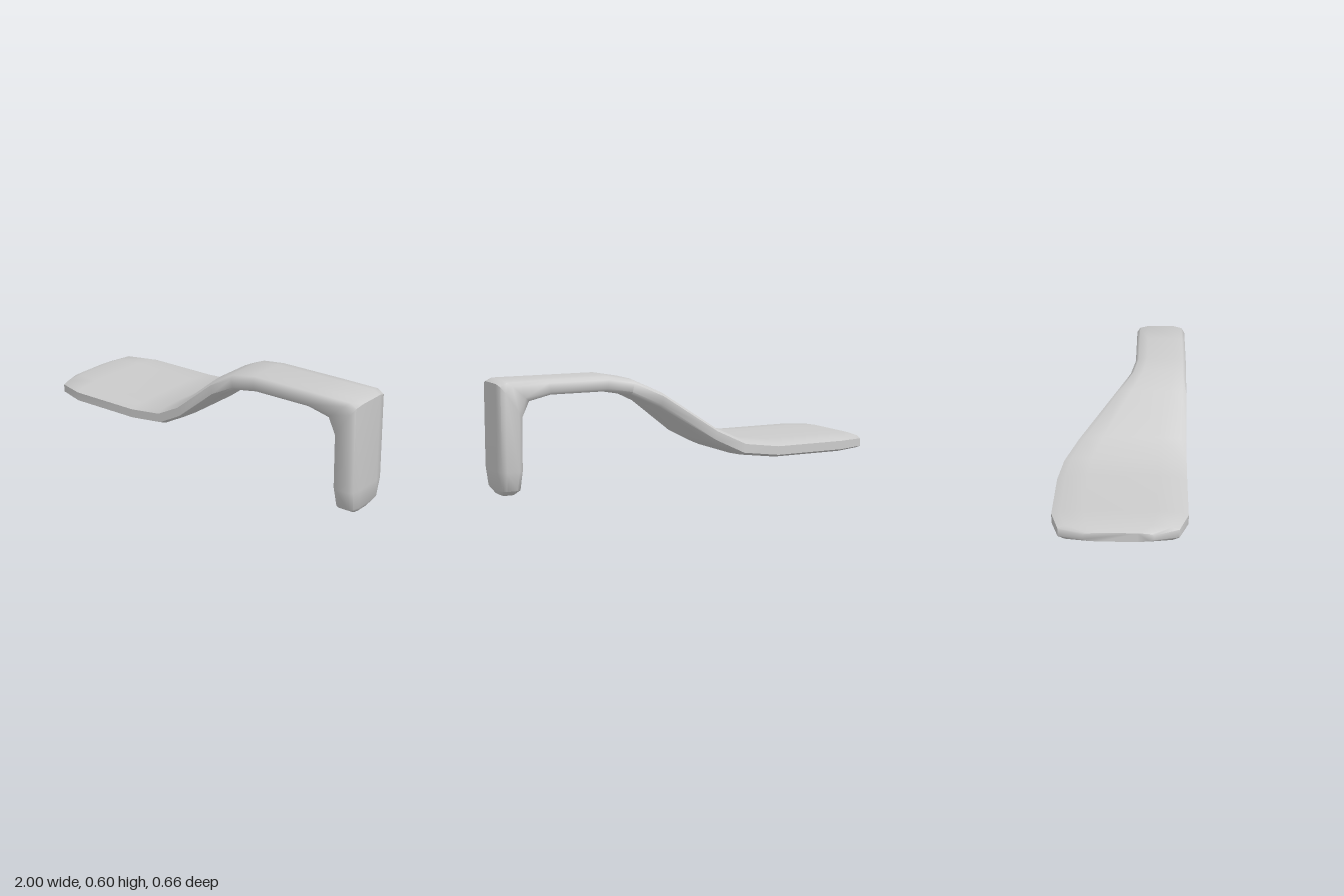
import * as THREE from 'three';
import { toCreasedNormals } from 'three/addons/utils/BufferGeometryUtils.js';

// Stations along the strip: lower x, lower y, upper x, upper y, back z, front z
const STATIONS = [
  [-1.00, 0.175, -1.00, 0.22, -0.17, 0.165],
  [-0.95, 0.157, -0.95, 0.235, -0.29, 0.285],
  [-0.80, 0.152, -0.80, 0.24, -0.33, 0.33],
  [-0.40, 0.152, -0.40, 0.24, -0.33, 0.33],
  [-0.20, 0.175, -0.22, 0.262, -0.305, 0.33],
  [-0.07, 0.243, -0.09, 0.328, -0.235, 0.33],
  [0.15, 0.42, 0.13, 0.505, -0.05, 0.33],
  [0.28, 0.485, 0.26, 0.57, 0.03, 0.33],
  [0.41, 0.507, 0.40, 0.595, 0.055, 0.33],
  [0.72, 0.507, 0.74, 0.595, 0.055, 0.33],
  // bend into the leg
  [0.83, 0.478, 0.965, 0.595, 0.055, 0.33],
  [0.868, 0.39, 1.00, 0.578, 0.055, 0.33],
  [0.87, 0.13, 1.00, 0.13, 0.055, 0.33],
  [0.88, 0.03, 0.99, 0.03, 0.072, 0.312],
  [0.90, 0.00, 0.97, 0.00, 0.125, 0.26],
];

// Bevelled section: [height fraction, depth fraction], from the top round the front
const quarter = [[1, 0.77], [0.93, 0.94], [0.76, 1]];
const front = [...quarter, ...quarter.map(([t, s]) => [1 - t, s]).reverse()];
const SECTION = [...front, ...front.map(([t, s]) => [t, 1 - s]).reverse()];

function loft(stations, section) {
  const n = section.length, pos = [], index = [];
  for (const [lx, ly, ux, uy, z0, z1] of stations) {
    for (const [t, s] of section) {
      pos.push(lx + (ux - lx) * t, ly + (uy - ly) * t, z0 + (z1 - z0) * s);
    }
  }
  for (let i = 0; i < stations.length - 1; i++) {
    for (let j = 0; j < n; j++) {
      const a = i * n + j, b = i * n + (j + 1) % n;
      index.push(a, b, a + n, b, b + n, a + n);
    }
  }
  // flat end caps
  const last = (stations.length - 1) * n;
  for (let j = 1; j < n - 1; j++) {
    index.push(0, j + 1, j, last, last + j, last + j + 1);
  }
  const geo = new THREE.BufferGeometry();
  geo.setAttribute('position', new THREE.Float32BufferAttribute(pos, 3));
  geo.setIndex(index);
  return toCreasedNormals(geo, 0.9);
}

export function createModel() {
  const group = new THREE.Group();
  group.name = 'bentPaddle';
  // wide blade, rising neck, narrow arm and down-turned leg in one strip
  const strip = new THREE.Mesh(
    loft(STATIONS, SECTION),
    new THREE.MeshStandardMaterial({ color: 0xcccccc })
  );
  strip.name = 'paddleStrip';
  group.add(strip);
  return group;
}
